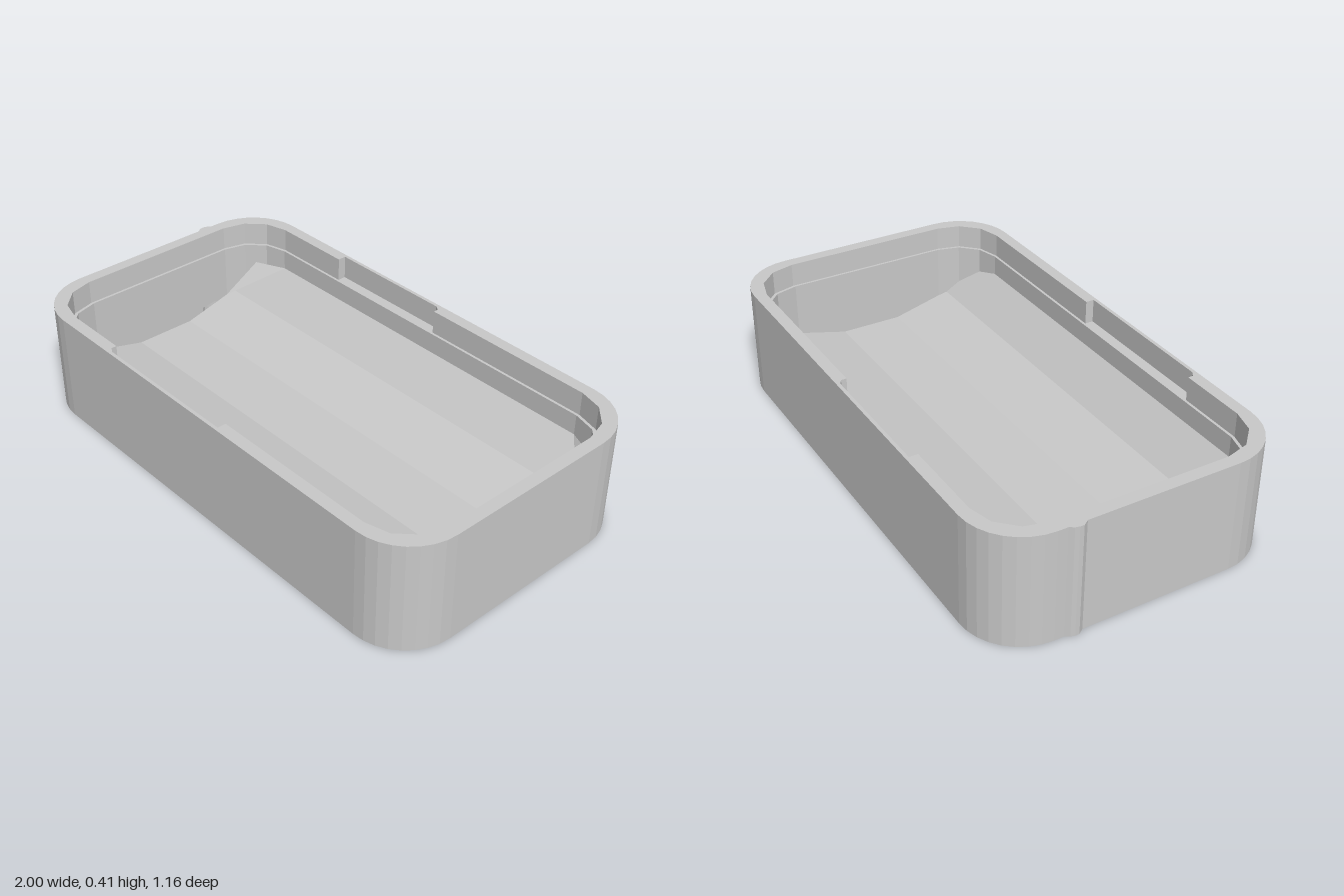
import * as THREE from 'three';

const HEIGHT = 0.415, LEDGE_Y = 0.325;
const OUTER = { x: 0.978, z: 0.54, r: 0.21 };
const RIM = { x: 0.932, z: 0.495, r: 0.175 };
const INNER = { x: 0.922, z: 0.485, r: 0.17 };

const toPoints = list => list.map(([x, z]) => new THREE.Vector2(x, -z));

// Four corner arcs of a rounded rectangle, counter-clockwise from above (y of the shape is -z)
function cornerArcs({ x, z, r }, segments) {
  return [[1, 1], [-1, 1], [-1, -1], [1, -1]].map(([sx, sy], k) => {
    const arc = [];
    for (let i = 0; i <= segments; i++) {
      const a = (k + i / segments) * Math.PI / 2;
      arc.push(new THREE.Vector2(sx * (x - r) + r * Math.cos(a), sy * (z - r) + r * Math.sin(a)));
    }
    return arc;
  });
}

// Clip pocket cut into the inside of a long wall
function pocket(from, to, side) {
  const step = Math.sign(to - from) * 0.02;
  return toPoints([
    [from, RIM.z], [from, 0.515], [from + step, 0.527], [to, 0.527], [to, RIM.z],
  ].map(([x, z]) => [x, side * z]));
}

// Height of the faceted trough across the depth
function troughHeight(z) {
  const profile = [[0, 0.067], [0.12, 0.067], [0.35, 0.125], [INNER.z, 0.247]];
  const d = Math.min(Math.abs(z), INNER.z);
  const i = profile.findIndex(([zi], k) => k > 0 && d <= zi);
  const [z0, y0] = profile[i - 1], [z1, y1] = profile[i];
  return y0 + (y1 - y0) * (d - z0) / (z1 - z0);
}

function flatGeometry(positions) {
  const geometry = new THREE.BufferGeometry();
  geometry.setAttribute('position', new THREE.Float32BufferAttribute(positions, 3));
  geometry.computeVertexNormals();
  return geometry;
}

// Closed upright wall along an outline; its foot follows a height rule
function wall(points, foot, top) {
  const positions = [];
  points.forEach((p, i) => {
    const q = points[(i + 1) % points.length];
    const p0 = [p.x, foot(-p.y), -p.y], q0 = [q.x, foot(-q.y), -q.y];
    const p1 = [p.x, top, -p.y], q1 = [q.x, top, -q.y];
    positions.push(...p0, ...q0, ...q1, ...p0, ...q1, ...p1);
  });
  return flatGeometry(positions);
}

// Level face with an optional hole
function level(points, y, hole) {
  const shape = new THREE.Shape(points);
  if (hole) shape.holes.push(new THREE.Path(hole));
  return new THREE.ShapeGeometry(shape).rotateX(-Math.PI / 2).translate(0, y, 0);
}

function troughGeometry() {
  const positions = [];
  const half = [0.12, 0.315, 0.35, 0.4, 0.462, INNER.z];
  const rows = [...half.map(z => -z).reverse(), ...half];
  const halfWidth = z => {
    const d = Math.max(0, Math.abs(z) - (INNER.z - INNER.r));
    return INNER.x - INNER.r + Math.sqrt(Math.max(0, INNER.r ** 2 - d * d));
  };
  for (let i = 1; i < rows.length; i++) {
    const [z0, z1] = [rows[i - 1], rows[i]];
    const [w0, w1] = [halfWidth(z0), halfWidth(z1)];
    const [y0, y1] = [troughHeight(z0), troughHeight(z1)];
    positions.push(-w0, y0, z0, -w1, y1, z1, w1, y1, z1);
    positions.push(-w0, y0, z0, w1, y1, z1, w0, y0, z0);
  }
  // Sloping facets in the back corners
  for (const s of [-1, 1]) {
    const a = [s * INNER.x, troughHeight(0.315), -0.315];
    const b = [s * 0.752, 0.247, -INNER.z];
    const c = [s * 0.868, 0.247, -0.431];
    positions.push(...(s < 0 ? [...a, ...b, ...c] : [...a, ...c, ...b]));
  }
  return flatGeometry(positions);
}

export function createModel() {
  const group = new THREE.Group();
  group.name = 'tray';
  const grey = new THREE.MeshStandardMaterial({ color: 0xc8c8c8, side: THREE.DoubleSide });
  grey.name = 'grey';

  const body = new THREE.Group();
  body.name = 'trayBody';
  body.rotation.y = THREE.MathUtils.degToRad(3.1);
  body.position.x = 0.005;
  group.add(body);

  const add = (name, geometry) => {
    const mesh = new THREE.Mesh(geometry, grey);
    mesh.name = name;
    body.add(mesh);
  };

  // Outer outline with a small upright rib on the right end
  const o = cornerArcs(OUTER, 8);
  const rib = toPoints([[-0.978, -0.295], [-0.988, -0.28], [-0.992, -0.265], [-0.992, -0.25], [-0.978, -0.23]]);
  const outer = [...o[0], ...o[1], ...rib, ...o[2], ...o[3]];

  // Inner outline with breaks at the trough folds
  const n = cornerArcs(INNER, 3);
  const endBreaks = s => toPoints([[s * INNER.x, s * 0.12], [s * INNER.x, s * -0.12]]);
  const inner = [...n[0], ...n[1], ...endBreaks(-1).reverse(), ...n[2], ...n[3], ...endBreaks(1)];

  // Rim outline with the two clip pockets
  const r = cornerArcs(RIM, 3);
  const notched = [...r[0], ...pocket(0.07, -0.44, -1), ...r[1], ...r[2], ...pocket(-0.5, 0.11, 1), ...r[3]];

  add('outerWall', wall(outer, () => 0, HEIGHT));
  add('underside', level(outer, 0));
  add('rimTop', level(outer, HEIGHT, notched));
  add('rimInside', wall([...notched].reverse(), () => LEDGE_Y, HEIGHT));
  add('innerLedge', level(notched, LEDGE_Y, inner));
  add('innerWall', wall([...inner].reverse(), troughHeight, LEDGE_Y));
  add('troughFloor', troughGeometry());
  return group;
}
